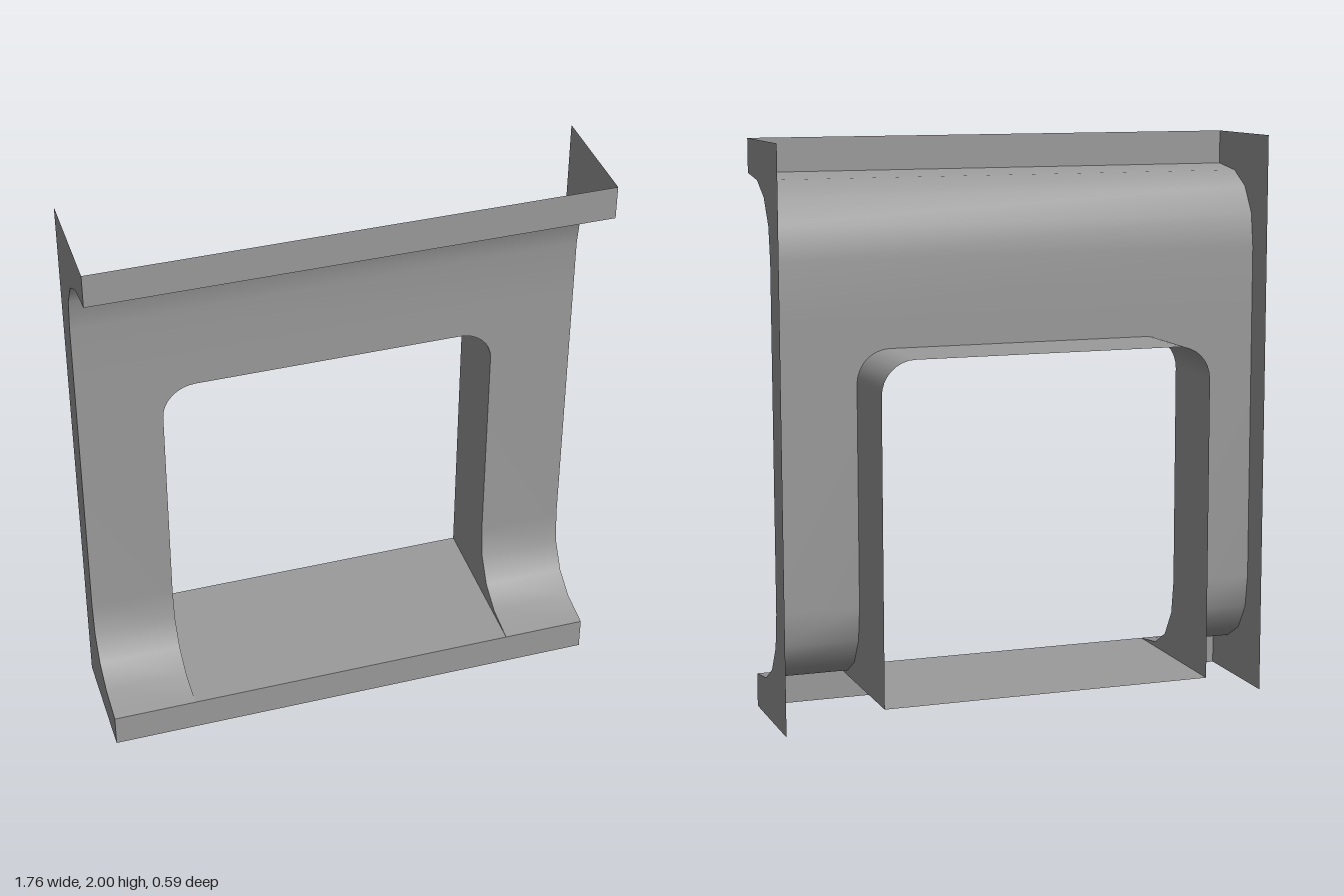
import * as THREE from 'three';

const W = 0.882, H = 2, FRONT = 0.295, BACK = -0.295, CAP_BACK = -0.115;
const HOLE = 0.588, HOLE_TOP = 1.295, R = 0.117, SILL = 0.118;

// Lower flare of the front sheet as [z, y], from the front lip up to the flat wall
const flare = [[FRONT, SILL], [0.164, 0.136], [0.074, 0.188], [0.017, 0.28], [0, 0.4]];
const flareTop = flare.map(([z, y]) => [z, H - y]).reverse();

const material = new THREE.MeshStandardMaterial({ color: 0x9b9b9b, side: THREE.DoubleSide });

// Thin surface made by sweeping a polyline of [x, y, z] points along an offset
function ribbon(points, offset) {
  const pos = [], index = [];
  points.forEach((p, i) => {
    pos.push(...p, ...p.map((v, k) => v + offset[k]));
    if (i) {
      const a = 2 * i - 2;
      index.push(a, a + 1, a + 2, a + 1, a + 3, a + 2);
    }
  });
  const geo = new THREE.BufferGeometry();
  geo.setAttribute('position', new THREE.Float32BufferAttribute(pos, 3));
  geo.setIndex(index);
  geo.computeVertexNormals();
  return geo;
}

// Sheet across x0..x1 following a [z, y] profile
const sheet = (profile, x0, x1) =>
  ribbon(profile.map(([z, y]) => [x0, y, z]), [x1 - x0, 0, 0]);

const shapeOf = (pts) => new THREE.Shape(pts.map(([a, b]) => new THREE.Vector2(a, b)));

// Flat plate with a [z, y] outline standing at a given x
const sidePlate = (outline, x) =>
  new THREE.ShapeGeometry(shapeOf(outline)).rotateY(-Math.PI / 2).translate(x, 0, 0);

export function createModel() {
  const group = new THREE.Group();
  const add = (name, geo) => {
    const mesh = new THREE.Mesh(geo, material);
    mesh.name = name;
    group.add(mesh);
  };

  // Arched outline of the opening as [x, y]: up one side, round the corners, down the other
  const arch = [[-HOLE, SILL]];
  for (const s of [-1, 1]) {
    for (let i = 0; i <= 8; i++) {
      const a = (s < 0 ? Math.PI : Math.PI / 2) - (i / 8) * Math.PI / 2;
      arch.push([s * (HOLE - R) + R * Math.cos(a), HOLE_TOP - R + R * Math.sin(a)]);
    }
  }
  arch.push([HOLE, SILL]);

  // Front sheet: upper part, lintel round the arch, two legs
  const lintelTop = 1.4, legTop = HOLE_TOP - R;
  add('upperSheet', sheet([[0, lintelTop], ...flareTop], -W, W));
  add('lintel', new THREE.ShapeGeometry(shapeOf([
    [-W, legTop], ...arch.slice(1, -1), [W, legTop], [W, lintelTop], [-W, lintelTop],
  ])));
  const legProfile = [...flare, [0, legTop]];
  add('rightLeg', sheet(legProfile, -W, -HOLE));
  add('leftLeg', sheet(legProfile, HOLE, W));

  // Front lips at top and bottom
  add('bottomLip', sheet([[FRONT, 0], [FRONT, SILL]], -W, W));
  add('topLip', sheet([[FRONT, H - SILL], [FRONT, H]], -W, W));

  // End plates and the reveals where the opening cuts the lower flare
  for (const [side, s] of [['left', 1], ['right', -1]]) {
    add(side + 'EndPlate', sidePlate([
      [CAP_BACK, 0], [FRONT, 0], ...flare, ...flareTop, [FRONT, H], [CAP_BACK, H],
    ], s * W));
    add(side + 'Reveal', sidePlate([[0, SILL], ...flare], s * HOLE));
  }

  // Tunnel through the opening, with its floor
  add('tunnelArch', ribbon(arch.map(([x, y]) => [x, y, 0]), [0, 0, BACK]));
  add('tunnelFloor', sheet([[BACK, SILL], [FRONT, SILL]], -HOLE, HOLE));

  return group;
}
